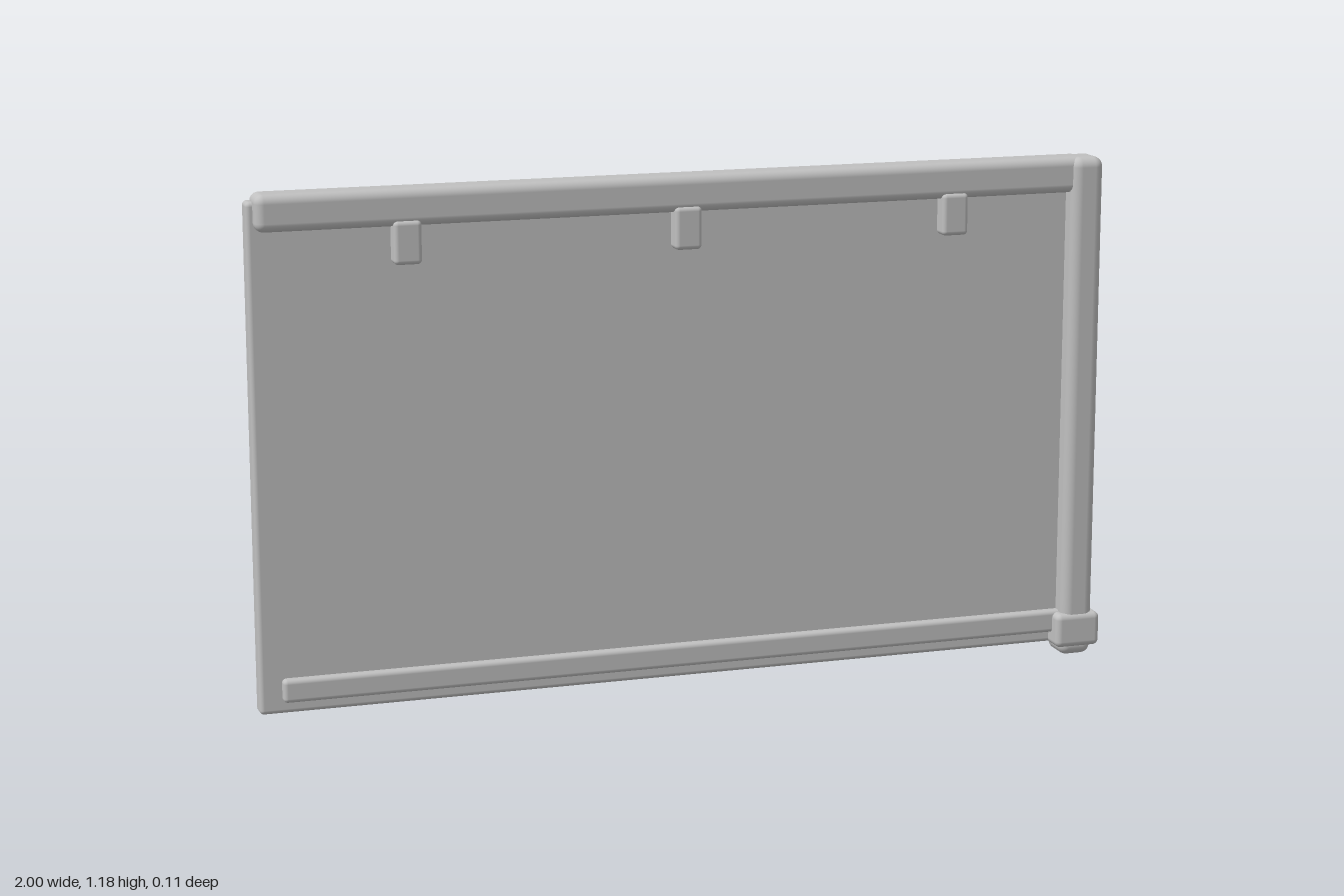
import * as THREE from 'three';
import { RoundedBoxGeometry } from 'three/addons/geometries/RoundedBoxGeometry.js';

export function createModel() {
  const model = new THREE.Group();
  model.name = 'board';
  const grey = new THREE.MeshStandardMaterial({ color: 0xc0c0c0 });
  grey.name = 'light grey';

  // Rounded block given by its extents along each axis
  function block(name, [x0, x1], [y0, y1], [z0, z1], radius) {
    const geometry = new RoundedBoxGeometry(x1 - x0, y1 - y0, z1 - z0, 4, radius);
    const mesh = new THREE.Mesh(geometry, grey);
    mesh.name = name;
    mesh.position.set((x0 + x1) / 2, (y0 + y1) / 2, (z0 + z1) / 2);
    model.add(mesh);
  }

  // Flat sheet, with the rail that carries it
  block('panel', [-1, 0.945], [0.027, 1.167], [-0.042, 0.005], 0.01);
  block('topRail', [-0.985, 0.945], [1.103, 1.185], [-0.046, 0.037], 0.02);
  block('bottomBar', [-0.95, 0.93], [0.055, 0.108], [-0.02, 0.025], 0.01);

  // Clips hanging under the rail
  for (const x of [-0.655, -0.02, 0.615]) {
    block('clip', [x - 0.031, x + 0.031], [1.02, 1.116], [-0.01, 0.042], 0.01);
  }

  // Upright post with its collar and foot
  block('post', [0.902, 0.979], [0.05, 1.185], [-0.0415, 0.049], 0.023);
  block('collar', [0.885, 0.995], [0.023, 0.104], [-0.055, 0.055], 0.014);
  block('foot', [0.9, 0.98], [0, 0.07], [-0.044, 0.044], 0.022);

  return model;
}
